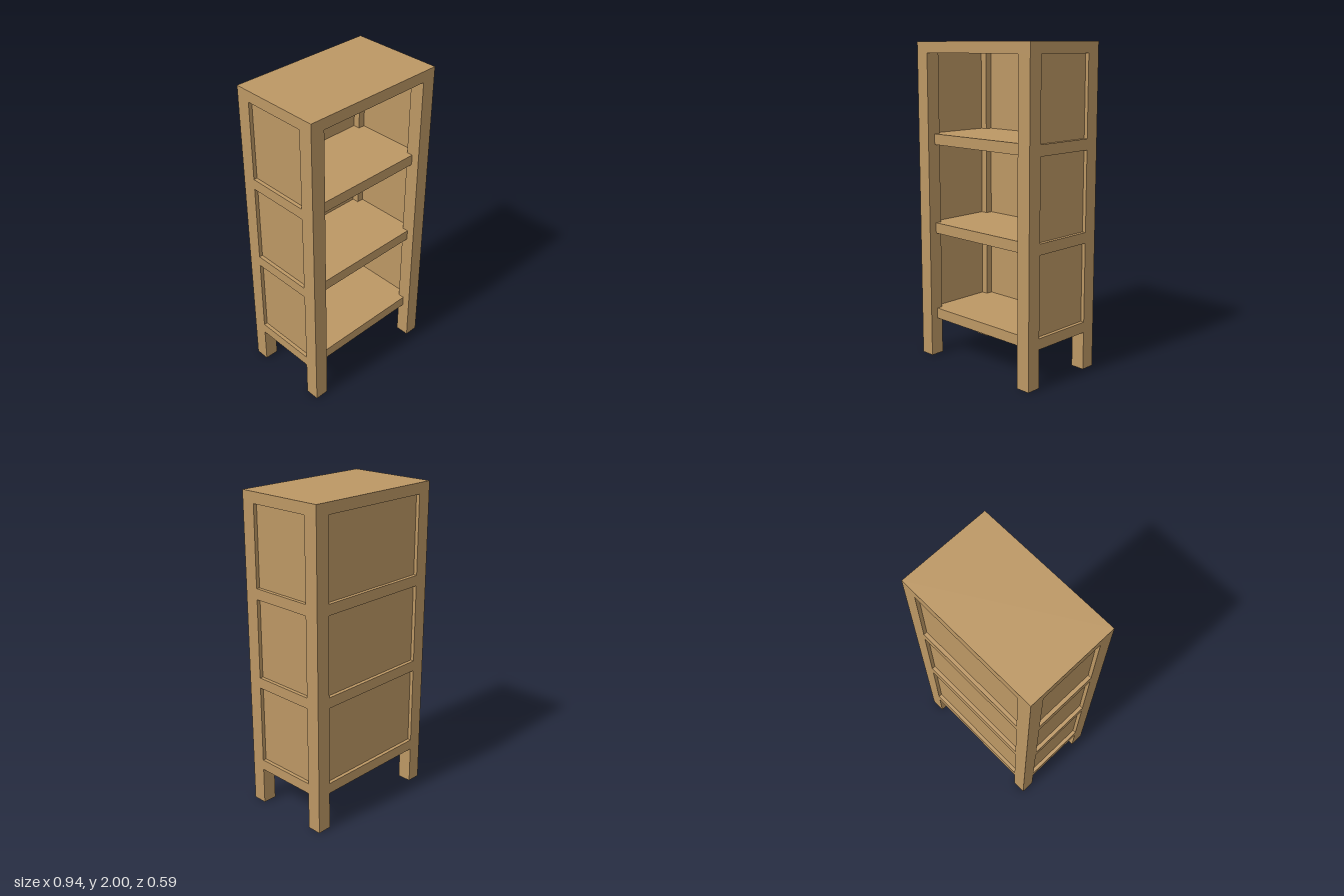
import * as THREE from 'three';

const W = 0.47, D = 0.294;          // half width, half depth
const POST = 0.09;                  // square post section
const RECESS = 0.023, PANEL = 0.023; // panel set-back and thickness
const TOP = 1.932;                  // underside of the top
const SHELF = 0.067;                // shelf thickness
const SHELF_Y = [0.24, 0.805, 1.37]; // shelf undersides
const FRONT = D - 0.05;             // shelf front edge

export function createModel() {
  const group = new THREE.Group();
  group.name = 'bookcase';
  const wood = new THREE.MeshStandardMaterial({ color: 0xbc9764 });
  wood.name = 'wood';

  const add = (name, geometry, x, y, z) => {
    const mesh = new THREE.Mesh(geometry, wood);
    mesh.name = name;
    mesh.position.set(x, y, z);
    group.add(mesh);
  };
  const box = (name, w, h, d, x, y, z) => add(name, new THREE.BoxGeometry(w, h, d), x, y, z);

  // Top slab
  box('top', 2 * W, 2 - TOP, 2 * D, 0, (2 + TOP) / 2, 0);

  // Corner posts
  for (const sx of [-1, 1]) {
    for (const sz of [-1, 1]) {
      const name = (sz > 0 ? 'front' : 'back') + (sx > 0 ? 'Left' : 'Right') + 'Post';
      box(name, POST, TOP, POST, sx * (W - POST / 2), TOP / 2, sz * (D - POST / 2));
    }
  }

  // Shelves, notched round the posts and flush with the sides and back
  const ix = W - POST, iz = D - POST;
  const outline = new THREE.Shape([
    [-ix, -FRONT], [ix, -FRONT], [ix, -iz], [W, -iz], [W, iz], [ix, iz],
    [ix, D], [-ix, D], [-ix, iz], [-W, iz], [-W, -iz], [-ix, -iz],
  ].map(([x, y]) => new THREE.Vector2(x, y)));
  const shelf = new THREE.ExtrudeGeometry(outline, { depth: SHELF, bevelEnabled: false });
  shelf.rotateX(-Math.PI / 2);

  SHELF_Y.forEach((y, i) => {
    add('shelf' + (i + 1), shelf, 0, y, 0);

    // Recessed back and side panels filling the bay above the shelf
    const low = y + SHELF;
    const high = i < 2 ? SHELF_Y[i + 1] : TOP;
    const h = high - low, cy = (low + high) / 2, inset = RECESS + PANEL / 2;
    box('backPanel' + (i + 1), 2 * ix, h, PANEL, 0, cy, -D + inset);
    for (const sx of [-1, 1]) {
      const side = sx > 0 ? 'left' : 'right';
      box(side + 'Panel' + (i + 1), PANEL, h, 2 * iz, sx * (W - inset), cy, 0);
    }
  });

  return group;
}
